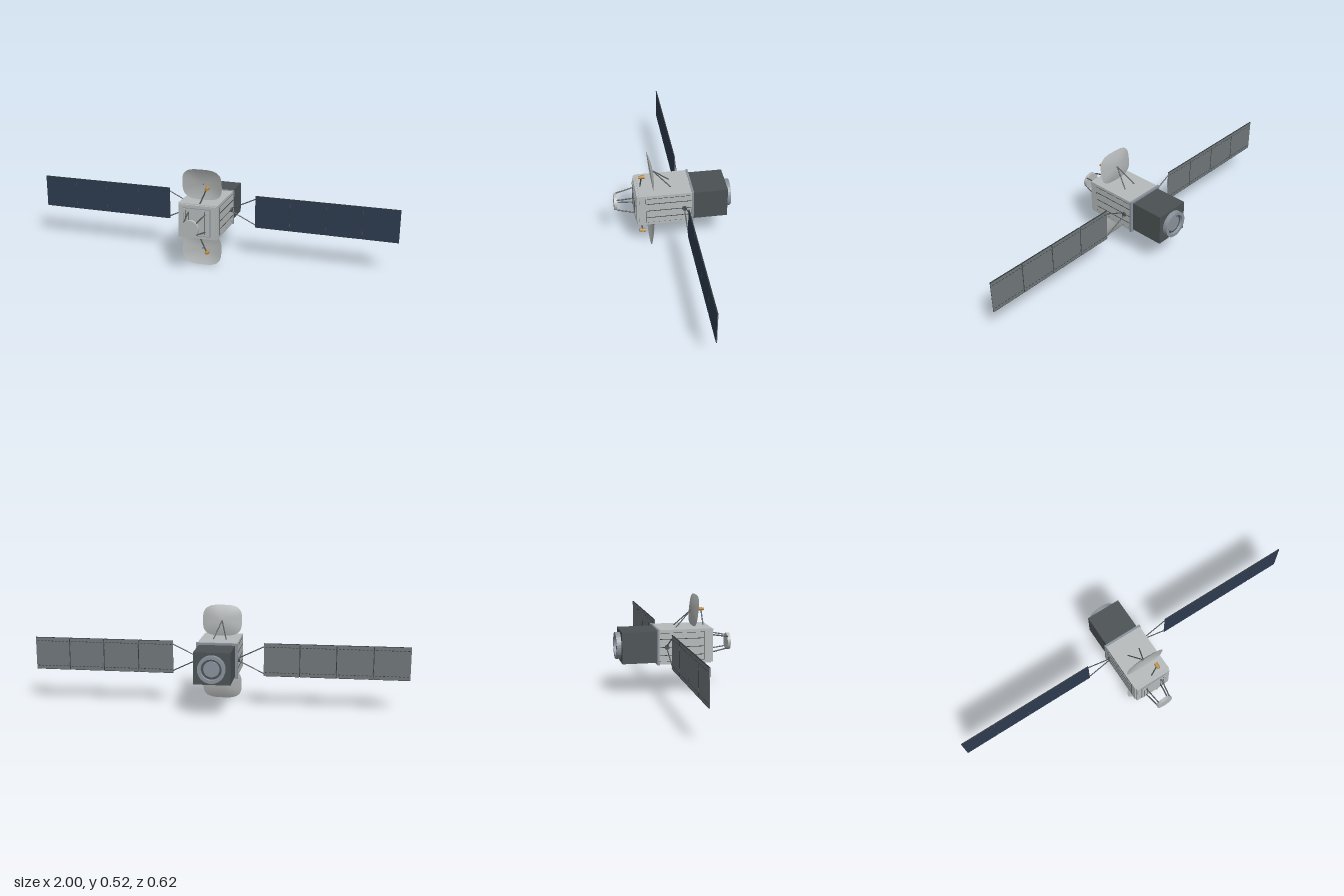
import * as THREE from 'three';

export function createModel() {
  const model = new THREE.Group();
  model.name = 'satellite';
  const CY = 0.264; // height of the long axis

  const mat = (name, color, side = THREE.FrontSide) => {
    const m = new THREE.MeshStandardMaterial({ color, side });
    m.name = name;
    return m;
  };
  const bodyGrey = mat('bodyGrey', 0xb6babA);
  const dishGrey = mat('dishGrey', 0xb2b5b5, THREE.DoubleSide);
  const darkGrey = mat('darkGrey', 0x4b5254);
  const steel = mat('steel', 0x8a929c);
  const strutGrey = mat('strutGrey', 0x505456);
  const navy = mat('navy', 0x2d3b50);
  const panelBack = mat('panelBack', 0x70777a);
  const gold = mat('gold', 0xb98a40);
  const lineGrey = mat('lineGrey', 0x34383a);

  const add = (name, geo, material, x = 0, y = 0, z = 0, parent = model) => {
    const m = new THREE.Mesh(geo, material);
    m.name = name;
    m.position.set(x, y, z);
    parent.add(m);
    return m;
  };
  const box = (name, w, h, d, material, x, y, z, parent) =>
    add(name, new THREE.BoxGeometry(w, h, d), material, x, y, z, parent);
  // round bar between two points
  const bar = (name, a, b, r, material, parent, r2 = r, sides = 8) => {
    const p = new THREE.Vector3(...a), q = new THREE.Vector3(...b);
    const m = add(name, new THREE.CylinderGeometry(r2, r, p.distanceTo(q), sides), material, 0, 0, 0, parent);
    m.position.copy(p).add(q).multiplyScalar(0.5);
    m.quaternion.setFromUnitVectors(new THREE.Vector3(0, 1, 0), q.sub(p).normalize());
    return m;
  };

  // main bus, front plates, rear flange and service module
  box('body', 0.21, 0.183, 0.285, bodyGrey, 0, CY, 0.0425);
  box('frontPlate', 0.2, 0.177, 0.013, bodyGrey, 0, CY, 0.1915);
  box('frontPanel', 0.148, 0.148, 0.007, steel, 0, CY, 0.2);
  box('frontPanelFace', 0.142, 0.142, 0.002, bodyGrey, 0, CY, 0.204);
  box('rearFlange', 0.22, 0.188, 0.011, steel, 0, CY, -0.0965);
  box('serviceModule', 0.19, 0.166, 0.184, darkGrey, 0, CY, -0.193);

  // grooved side panels and front strips
  for (const s of [-1, 1]) {
    box('sidePanelEdge', 0.003, 0.151, 0.245, lineGrey, s * 0.105, CY, 0.029);
    box('sidePanel', 0.005, 0.148, 0.242, bodyGrey, s * 0.105, CY, 0.029);
    for (const dy of [-0.043, 0, 0.043])
      box('sideGroove', 0.002, 0.003, 0.237, lineGrey, s * 0.1075, CY + dy, 0.0285);
    for (const x of [0.042, 0.06])
      box('frontGroove', 0.002, 0.125, 0.002, lineGrey, s * x, CY, 0.2048);
  }

  // rear ring with a recessed nozzle
  const ring = [[0, 0.012], [0.04, 0.012], [0.046, 0.006], [0.05, 0.004], [0.054, 0.025], [0.071, 0.025], [0.071, 0]]
    .map(([r, y]) => new THREE.Vector2(r, y)).reverse();
  const ringGeo = new THREE.LatheGeometry(ring, 32).toNonIndexed();
  ringGeo.computeVertexNormals();
  add('rearRing', ringGeo, steel, 0, CY, -0.285).rotation.x = -Math.PI / 2;
  const liner = add('ringLiner', new THREE.RingGeometry(0.042, 0.054, 32), darkGrey, 0, CY, -0.2975);
  liner.rotation.y = Math.PI;

  // front disc on four legs
  add('frontDisc', new THREE.CylinderGeometry(0.045, 0.045, 0.017, 28), bodyGrey, 0, CY, 0.3025).rotation.x = Math.PI / 2;
  for (const sx of [-1, 1]) for (const sy of [-1, 1])
    bar('discLeg', [sx * 0.048, CY + sy * 0.048, 0.2], [sx * 0.033, CY + sy * 0.031, 0.298], 0.0035, strutGrey);

  // shallow rounded-square reflector built from concentric rings
  const dishGeometry = () => {
    const N = 48, R = 10, pos = [], idx = [];
    for (let i = 0; i <= R; i++) for (let j = 0; j < N; j++) {
      const a = (j / N) * Math.PI * 2, r = i / R, c = Math.cos(a), s = Math.sin(a), e = 2 / 3.2;
      pos.push(0.107 * r * Math.sign(c) * Math.abs(c) ** e,
        0.084 * r * Math.sign(s) * Math.abs(s) ** e, -0.015 * (1 - r * r));
      if (i < R) {
        const p = i * N + j, q = i * N + (j + 1) % N;
        if (i) idx.push(p, p + N, q);
        idx.push(q, p + N, q + N);
      }
    }
    const g = new THREE.BufferGeometry();
    g.setAttribute('position', new THREE.Float32BufferAttribute(pos, 3));
    g.setIndex(idx);
    g.computeVertexNormals();
    // the collapsed centre ring shares the axis normal
    for (let j = 0; j < N; j++) g.attributes.normal.setXYZ(j, 0, 0, 1);
    return g;
  };

  // upper and lower antennas: reflector, V support, arm and feed horn
  for (const s of [1, -1]) {
    const antenna = new THREE.Group();
    antenna.name = s > 0 ? 'upperAntenna' : 'lowerAntenna';
    model.add(antenna);
    const Y = d => CY + s * d;
    const dish = add('reflector', dishGeometry(), dishGrey, 0, Y(0.177), 0.115, antenna);
    dish.rotation.x = s * 0.11;
    for (const sx of [-1, 1])
      bar('reflectorStrut', [sx * 0.036, Y(0.088), 0.008], [0, Y(0.178), 0.101], 0.003, strutGrey, antenna);
    bar('feedArm', [0.006, Y(0.088), 0.17], [0.041, Y(0.17), 0.165], 0.0035, strutGrey, antenna);
    bar('feedHorn', [0.043, Y(0.175), 0.15], [0.043, Y(0.173), 0.181], 0.011, gold, antenna, 0.007, 16);
  }

  // solar wings: hub, forked yoke and four hinged panels
  const Z = -0.052, x0 = 0.24, pitch = 0.19, H = 0.174;
  for (const s of [-1, 1]) {
    const wing = new THREE.Group();
    wing.name = s > 0 ? 'leftWing' : 'rightWing';
    model.add(wing);
    bar('wingHub', [s * 0.1, CY, Z], [s * 0.116, CY, Z], 0.013, strutGrey, wing);
    for (const sy of [-1, 1])
      bar('yoke', [s * 0.11, CY + sy * 0.008, Z], [s * 0.243, CY + sy * 0.072, Z], 0.003, strutGrey, wing);
    for (let i = 0; i < 4; i++) {
      const x = s * (x0 + pitch * (i + 0.5)), w = pitch - 0.004;
      box('panelBacking', w, H, 0.003, panelBack, x, CY + 0.002, Z - 0.001, wing);
      box('solarCells', w, H, 0.002, navy, x, CY + 0.002, Z + 0.0015, wing);
      for (const sy of [-1, 1]) {
        box('panelRim', w, 0.002, 0.0056, lineGrey, x, CY + 0.002 + sy * H / 2, Z, wing);
        for (let k = 0; k < 9; k++)
          box('panelDash', 0.011, 0.003, 0.001, lineGrey, x + (k - 4) * 0.02, CY + 0.002 + sy * 0.068, Z - 0.0027, wing);
        if (i) box('hinge', 0.008, 0.02, 0.005, strutGrey, s * (x0 + pitch * i), CY + 0.002 + sy * 0.055, Z - 0.001, wing);
      }
      if (i) box('panelGap', 0.004, H, 0.003, lineGrey, s * (x0 + pitch * i), CY + 0.002, Z - 0.001, wing);
    }
  }
  return model;
}
